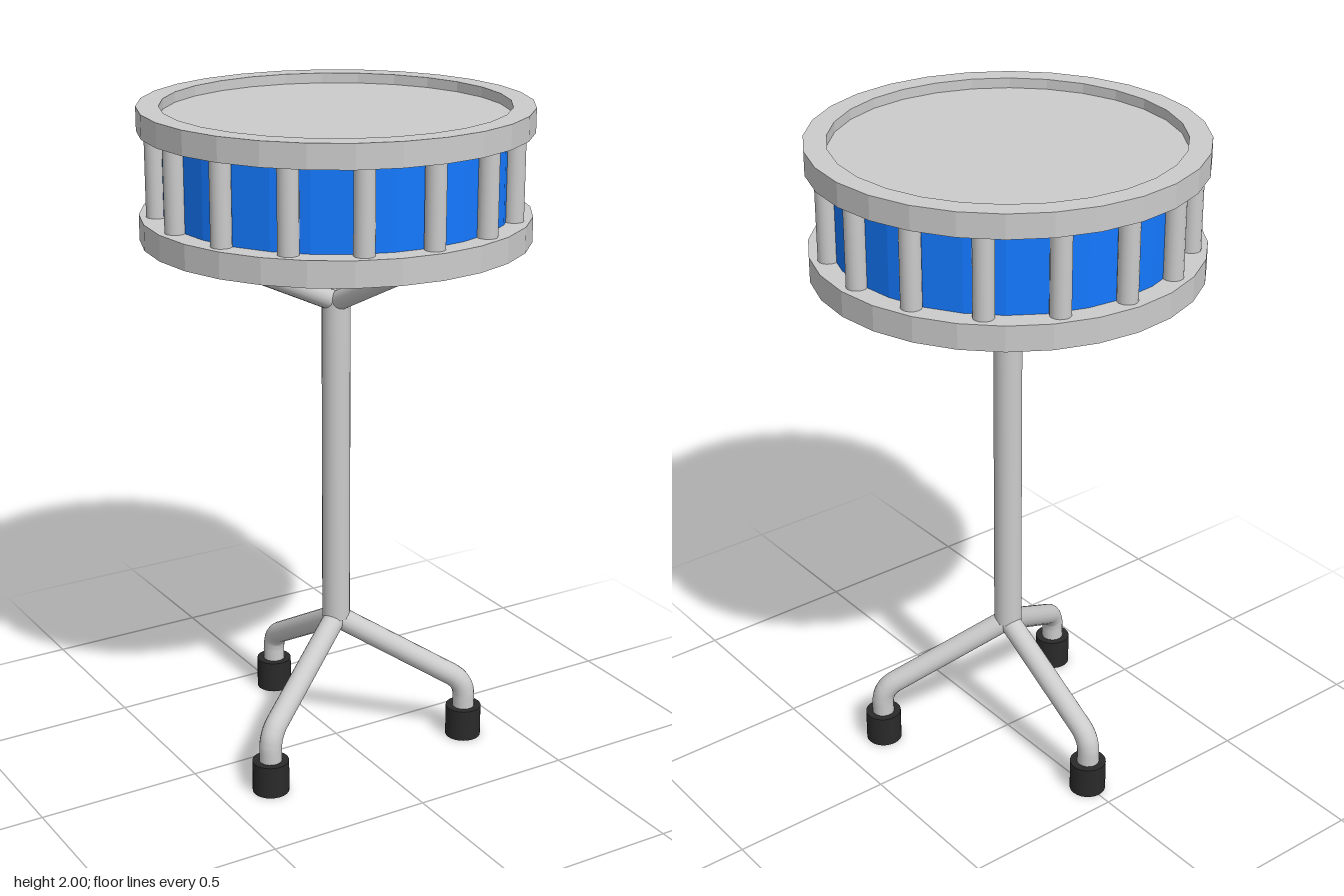
import * as THREE from 'three';

const SIDES = 28;
const metal = new THREE.MeshStandardMaterial({ color: 0xcccccc });
const facetedMetal = new THREE.MeshStandardMaterial({ color: 0xcccccc, flatShading: true });
const blue = new THREE.MeshStandardMaterial({ color: 0x1479ff, flatShading: true });
const rubber = new THREE.MeshStandardMaterial({ color: 0x2a2a2a });

export function createModel() {
  const model = new THREE.Group();
  model.name = 'drumOnStand';

  const add = (name, geometry, material, x = 0, y = 0, z = 0) => {
    const mesh = new THREE.Mesh(geometry, material);
    mesh.name = name;
    mesh.position.set(x, y, z);
    model.add(mesh);
    return mesh;
  };

  // Upright cylinder between two heights
  const post = (name, radius, y0, y1, sides, material, x = 0, z = 0, open = false) =>
    add(name, new THREE.CylinderGeometry(radius, radius, y1 - y0, sides, 1, open), material, x, (y0 + y1) / 2, z);

  // Drum shell, and the two recessed heads
  post('shell', 0.5, 1.64, 1.97, SIDES, blue, 0, 0, true);
  const head = new THREE.CircleGeometry(0.5, SIDES);
  add('topHead', head, metal, 0, 1.97, 0).rotation.x = -Math.PI / 2;
  add('bottomHead', head, metal, 0, 1.64, 0).rotation.x = Math.PI / 2;

  // Rectangular-section hoops
  const hoop = (name, y0, y1) => {
    const section = [[0.5, y0], [0.565, y0], [0.565, y1], [0.5, y1], [0.5, y0]];
    add(name, new THREE.LatheGeometry(section.map(p => new THREE.Vector2(...p)), SIDES), facetedMetal);
  };
  hoop('topHoop', 1.93, 2);
  hoop('bottomHoop', 1.615, 1.69);

  // Tension rods around the shell
  for (let i = 0; i < 16; i++) {
    const a = (i / 16) * Math.PI * 2;
    post('tensionRod', 0.03, 1.68, 1.94, 16, metal, 0.515 * Math.sin(a), 0.515 * Math.cos(a));
  }

  // Central pole with rounded joints
  post('pole', 0.0425, 0.41, 1.425, 24, metal);
  add('lowerJoint', new THREE.SphereGeometry(0.034, 16, 12), metal, 0, 0.41, 0);
  add('upperJoint', new THREE.SphereGeometry(0.031, 16, 12), metal, 0, 1.42, 0);

  // Four cradle arms
  const armPath = new THREE.LineCurve3(new THREE.Vector3(0, 1.418, 0), new THREE.Vector3(0, 1.645, 0.475));
  const armGeometry = new THREE.TubeGeometry(armPath, 1, 0.03, 16);
  for (let i = 0; i < 4; i++) add('cradleArm', armGeometry, metal).rotation.y = (i * Math.PI) / 2;

  // Three bent legs with rubber feet
  const V = (y, z) => new THREE.Vector3(0, y, z);
  const bend = new THREE.QuadraticBezierCurve3(V(0.212, 0.35), V(0.188, 0.4), V(0.135, 0.4));
  const points = [V(0.41, 0), ...bend.getPoints(8), V(0.08, 0.4)];
  const legPath = new THREE.CurvePath();
  for (let i = 1; i < points.length; i++) legPath.add(new THREE.LineCurve3(points[i - 1], points[i]));
  const legGeometry = new THREE.TubeGeometry(legPath, 64, 0.034, 16);
  for (const a of [Math.PI / 3, -Math.PI / 3, Math.PI]) {
    add('leg', legGeometry, metal).rotation.y = a;
    post('foot', 0.055, 0, 0.1, 24, rubber, 0.4 * Math.sin(a), 0.4 * Math.cos(a));
  }

  return model;
}
